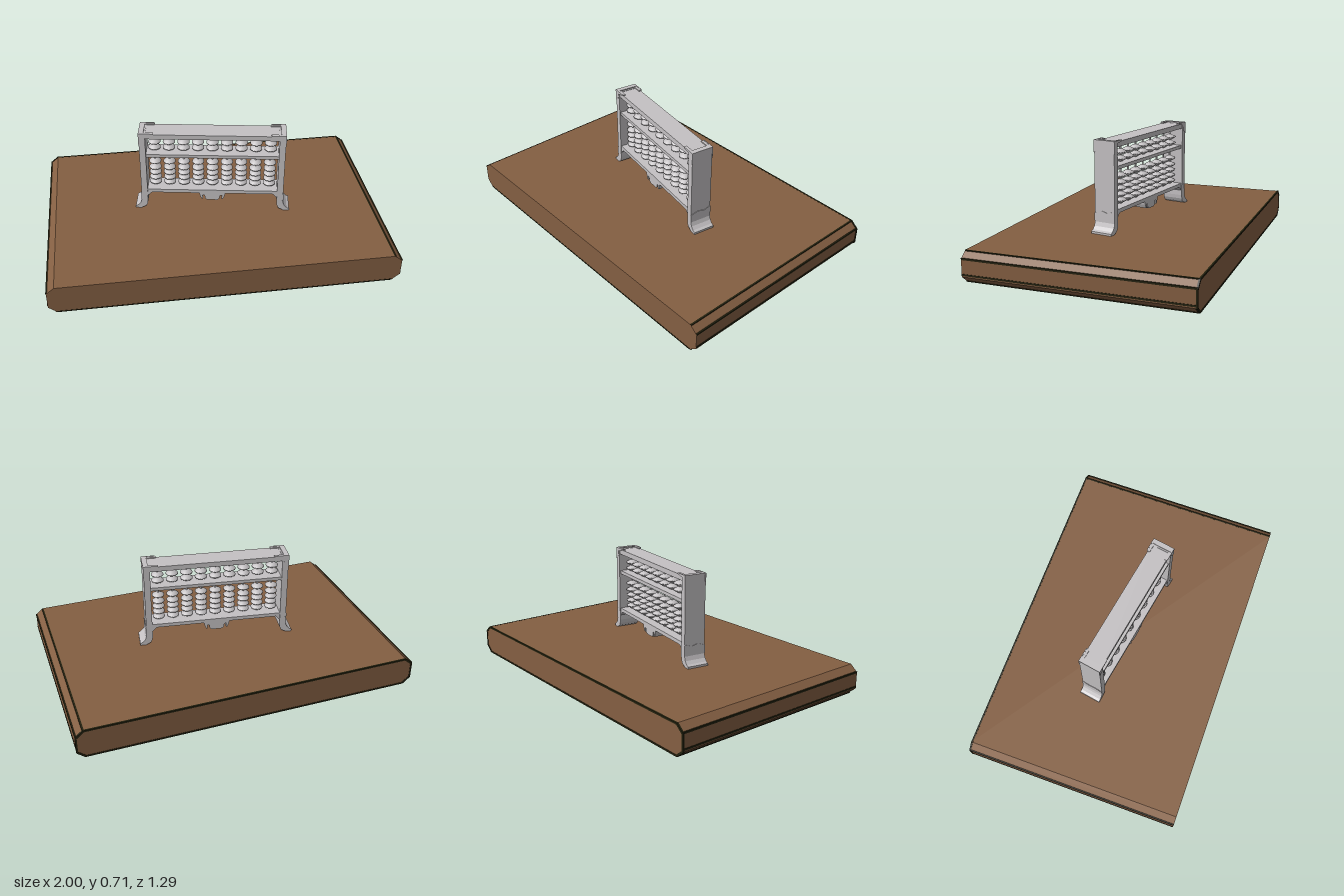
import * as THREE from 'three';

const wood = new THREE.MeshStandardMaterial({ color: 0x845f42 });
wood.name = 'brown wood';
const dark = new THREE.MeshStandardMaterial({ color: 0x24220f });
dark.name = 'dark edge';
const grey = new THREE.MeshStandardMaterial({ color: 0xc4c1c3 });
grey.name = 'pale grey';

function add(parent, name, geometry, material, x = 0, y = 0, z = 0) {
  const mesh = new THREE.Mesh(geometry, material);
  mesh.name = name;
  mesh.position.set(x, y, z);
  parent.add(mesh);
  return mesh;
}

const box = (w, h, d) => new THREE.BoxGeometry(w, h, d);

// Extrudes a list of [x, y] points along z, centred on z = 0
function extrude(points, depth, holePoints) {
  const shape = new THREE.Shape(points.map(p => new THREE.Vector2(...p)));
  if (holePoints) shape.holes.push(new THREE.Path(holePoints.map(p => new THREE.Vector2(...p))));
  const g = new THREE.ExtrudeGeometry(shape, { depth, bevelEnabled: false });
  return g.translate(0, 0, -depth / 2);
}

// Rectangle with cut corners
const octagon = (w, y0, y1, cx, cy) => [
  [-w + cx, y0], [w - cx, y0], [w, y0 + cy], [w, y1 - cy],
  [w - cx, y1], [-w + cx, y1], [-w, y1 - cy], [-w, y0 + cy],
];

function buildSlab() {
  const slab = new THREE.Group();
  slab.name = 'slab';
  add(slab, 'slabBody', extrude(octagon(0.997, 0.003, 0.176, 0.045, 0.037), 1.286), wood);
  // dark rim round the back end
  add(slab, 'backRim', extrude(octagon(1, 0, 0.177, 0.045, 0.038), 0.01,
    octagon(0.99, 0.01, 0.167, 0.042, 0.035)), dark, 0, 0, -0.64);
  // dark lines along the long chamfer edges
  for (const s of [-1, 1]) {
    for (const y of [0.052, 0.139]) add(slab, 'sideEdge', box(0.008, 0.01, 1.284), dark, s * 0.9955, y, 0);
    add(slab, 'bottomEdge', box(0.01, 0.006, 1.284), dark, s * 0.954, 0.0045, 0);
  }
  add(slab, 'topEdge', box(0.01, 0.006, 1.284), dark, 0.953, 0.1735, 0);
  add(slab, 'frontBottomEdge', box(1.9, 0.007, 0.006), dark, 0, 0.0045, 0.6415);
  return slab;
}

// Post with an outward-curving foot, drawn for the +x side
function postGeometry(side) {
  const pts = [
    [0.388, 0.7], [0.388, 0.235], [0.391, 0.212], [0.4, 0.194], [0.418, 0.184], [0.43, 0.178],
    [0.465, 0.178], [0.465, 0.19], [0.45, 0.198], [0.434, 0.215], [0.425, 0.24], [0.425, 0.7],
  ];
  return extrude(pts.map(([x, y]) => [x * side, y]), 0.13);
}

function buildAbacus() {
  const abacus = new THREE.Group();
  abacus.name = 'abacus';

  // Horizontal boards
  add(abacus, 'topBoard', box(0.8, 0.03, 0.122), grey, 0, 0.683, 0);
  add(abacus, 'divider', box(0.78, 0.02, 0.115), grey, 0, 0.55, 0);
  add(abacus, 'bottomBoard', box(0.78, 0.022, 0.122), grey, 0, 0.303, 0);

  for (const s of [-1, 1]) {
    add(abacus, 'post', postGeometry(s), grey);
    // Corner fittings on the top, the faces and the outer side
    add(abacus, 'cornerCap', box(0.03, 0.008, 0.134), grey, s * 0.412, 0.702, 0);
    for (const f of [-1, 1]) {
      const plate = [[0.427, 0.706], [0.345, 0.706], [0.352, 0.697], [0.392, 0.69],
        [0.4, 0.655], [0.427, 0.635]].map(([x, y]) => [x * s, y]);
      add(abacus, 'cornerPlate', extrude(plate, 0.006), grey, 0, 0, f * 0.0645);
      add(abacus, 'cornerTopPlate', box(0.07, 0.006, 0.018), grey, s * 0.375, 0.701, f * 0.056);
    }
    add(abacus, 'footBand', extrude([[-0.066, 0.24], [0.066, 0.24], [0.066, 0.31],
      [0.02, 0.295], [-0.02, 0.305], [-0.066, 0.29]], 0.006), grey, s * 0.425, 0, 0).rotation.y = Math.PI / 2;
    // Small bracket under the bottom board
    add(abacus, 'bracket', extrude([[0.39, 0.293], [0.362, 0.293], [0.372, 0.283],
      [0.39, 0.265]].map(([x, y]) => [x * s, y]), 0.122), grey);
  }

  // Carved apron in the middle of the bottom board
  const half = [[0.078, 0.293], [0.074, 0.272], [0.064, 0.25], [0.056, 0.25], [0.058, 0.275],
    [0.046, 0.275], [0.044, 0.255], [0.032, 0.242]];
  const apron = [...half, ...half.map(([x, y]) => [-x, y]).reverse()];
  add(abacus, 'apron', extrude(apron, 0.12), grey);

  // Rods and two-coned beads
  const profile = [[0.006, -0.0175], [0.013, -0.0165], [0.022, -0.011], [0.036, -0.003],
    [0.036, 0.003], [0.022, 0.011], [0.013, 0.0165], [0.006, 0.0175]];
  const beadGeometry = new THREE.LatheGeometry(profile.map(p => new THREE.Vector2(...p)), 14);
  const rodGeometry = new THREE.CylinderGeometry(0.006, 0.006, 0.37, 8);
  for (let i = -4; i <= 4; i++) {
    const x = i * 0.0852;
    add(abacus, 'rod', rodGeometry, grey, x, 0.49, 0);
    for (const y of [0.337, 0.371, 0.406, 0.441, 0.482, 0.58, 0.618]) {
      add(abacus, 'bead', beadGeometry, grey, x, y, 0);
    }
  }

  abacus.rotation.y = -THREE.MathUtils.degToRad(9.7);
  return abacus;
}

export function createModel() {
  const model = new THREE.Group();
  model.name = 'abacusOnSlab';
  model.add(buildSlab(), buildAbacus());
  return model;
}
